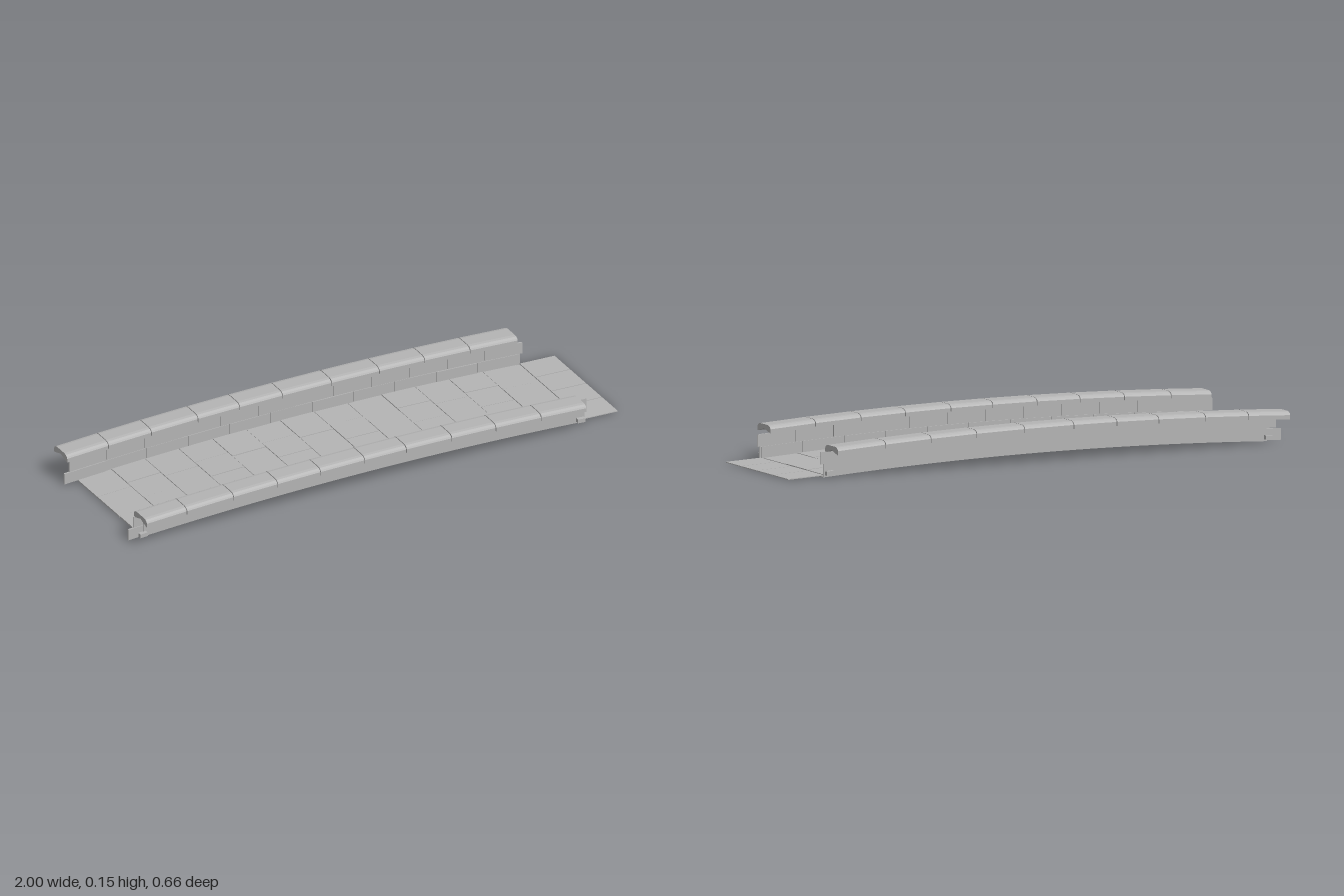
import * as THREE from 'three';

const stone = new THREE.MeshStandardMaterial({ color: 0xb4b4b4 });
stone.name = 'grey stone';

// how far the arch has dropped below its crown at x
const drop = (x) => 0.026 * ((x + 0.06) / 0.9) ** 2;

// seeded random numbers in 0..1
function seeded(seed) {
  return () => {
    seed = (seed * 16807) % 2147483647;
    return seed / 2147483647;
  };
}

// lower every vertex along the arch
function bend(geometry) {
  const p = geometry.attributes.position;
  for (let i = 0; i < p.count; i++) p.setY(i, p.getY(i) - drop(p.getX(i)));
  geometry.computeVertexNormals();
  return geometry;
}

// a block given by its limits, following the arch
function slab(name, x0, x1, y0, y1, z0, z1, steps = 1) {
  const g = new THREE.BoxGeometry(x1 - x0, y1 - y0, Math.abs(z1 - z0), steps, 1, 1);
  g.translate((x0 + x1) / 2, (y0 + y1) / 2, (z0 + z1) / 2);
  const mesh = new THREE.Mesh(bend(g), stone);
  mesh.name = name;
  return mesh;
}

// one coping stone: chamfered top, shallow notch underneath
function copingStone(x0, x1, side) {
  const profile = [
    [0.234, 0.117], [0.234, 0.132], [0.237, 0.138], [0.245, 0.143], [0.256, 0.145],
    [0.309, 0.145], [0.32, 0.143], [0.328, 0.138], [0.331, 0.132], [0.331, 0.117],
    [0.325, 0.117], [0.283, 0.13], [0.24, 0.117],
  ];
  const shape = new THREE.Shape(profile.map(([z, y]) => new THREE.Vector2(-side * z, y)));
  const g = new THREE.ExtrudeGeometry(shape, { depth: x1 - x0, bevelEnabled: false });
  g.rotateY(Math.PI / 2).translate(x0, 0, 0);
  const mesh = new THREE.Mesh(bend(g), stone);
  mesh.name = 'copingStone';
  return mesh;
}

// paving: slab bed plus staggered rows of tiles
function buildDeck() {
  const deck = new THREE.Group();
  deck.name = 'deck';
  const random = seeded(17);
  deck.add(slab('deckBed', -0.93, 0.86, 0.026, 0.0295, -0.238, 0.238, 24));
  const columns = 13, start = -0.945, width = 1.79 / columns;
  for (let i = 0; i < columns; i++) {
    const cuts = i % 2 ? [-0.238, -0.12, 0, 0.12, 0.238] : [-0.238, -0.09, 0.075, 0.238];
    for (let j = 0; j < cuts.length - 1; j++) {
      const x0 = start + i * width;
      const top = 0.0315 + random() * 0.0018;
      deck.add(slab('pavingTile', x0 + 0.001, x0 + width - 0.001, 0.027, top,
        cuts[j] + 0.001, cuts[j + 1] - 0.001, 2));
    }
  }
  return deck;
}

// thin sloping tiles leading off one end
function buildRamp() {
  const ramp = new THREE.Group();
  ramp.name = 'endRamp';
  for (let j = 0; j < 4; j++) {
    const g = new THREE.BoxGeometry(0.142, 0.003, 0.115);
    g.translate(0.929, 0.0015, -0.179 + j * 0.1185);
    const p = g.attributes.position;
    for (let i = 0; i < p.count; i++) p.setY(i, p.getY(i) + (1 - p.getX(i)) * 0.035);
    g.computeVertexNormals();
    const tile = new THREE.Mesh(g, stone);
    tile.name = 'rampTile';
    ramp.add(tile);
  }
  return ramp;
}

// low parapet: smooth outer sheet, two inner courses, coping on top
function buildParapet(side) {
  const parapet = new THREE.Group();
  parapet.name = side > 0 ? 'frontParapet' : 'backParapet';
  const random = seeded(side > 0 ? 5 : 91);
  parapet.add(slab('outerWall', -0.94, 0.86, 0.028, 0.119, side * 0.2395, side * 0.243, 24));

  const courses = [
    { y0: 0.031, y1: 0.073, x0: -1, x1: 0.855, n: 11 },
    { y0: 0.075, y1: 0.119, x0: -0.98, x1: 0.87, n: 12 },
  ];
  for (const { y0, y1, x0, x1, n } of courses) {
    const w = (x1 - x0) / n;
    for (let i = 0; i < n; i++) {
      const inner = 0.2345 + random() * 0.0025;
      parapet.add(slab('wallStone', x0 + i * w + 0.001, x0 + (i + 1) * w - 0.001,
        y0, y1, side * inner, side * 0.2415, 2));
    }
  }

  // small footing stones at both ends
  parapet.add(slab('footingStone', -0.96, -0.93, 0.034, 0.049, side * 0.242, side * 0.258));
  parapet.add(slab('footingStone', 0.825, 0.855, 0.034, 0.049, side * 0.242, side * 0.258));

  const joints = side > 0
    ? [-0.975, -0.81, -0.62, -0.44, -0.265, -0.085, 0.085, 0.27, 0.45, 0.635, 0.82]
    : [-0.99, -0.82, -0.645, -0.455, -0.285, -0.11, 0.09, 0.285, 0.47, 0.655, 0.85];
  for (let i = 0; i < joints.length - 1; i++) {
    parapet.add(copingStone(joints[i] + 0.0015, joints[i + 1] - 0.0015, side));
  }
  return parapet;
}

export function createModel() {
  const bridge = new THREE.Group();
  bridge.name = 'stoneFootbridge';
  bridge.add(buildDeck(), buildRamp(), buildParapet(1), buildParapet(-1));
  return bridge;
}
